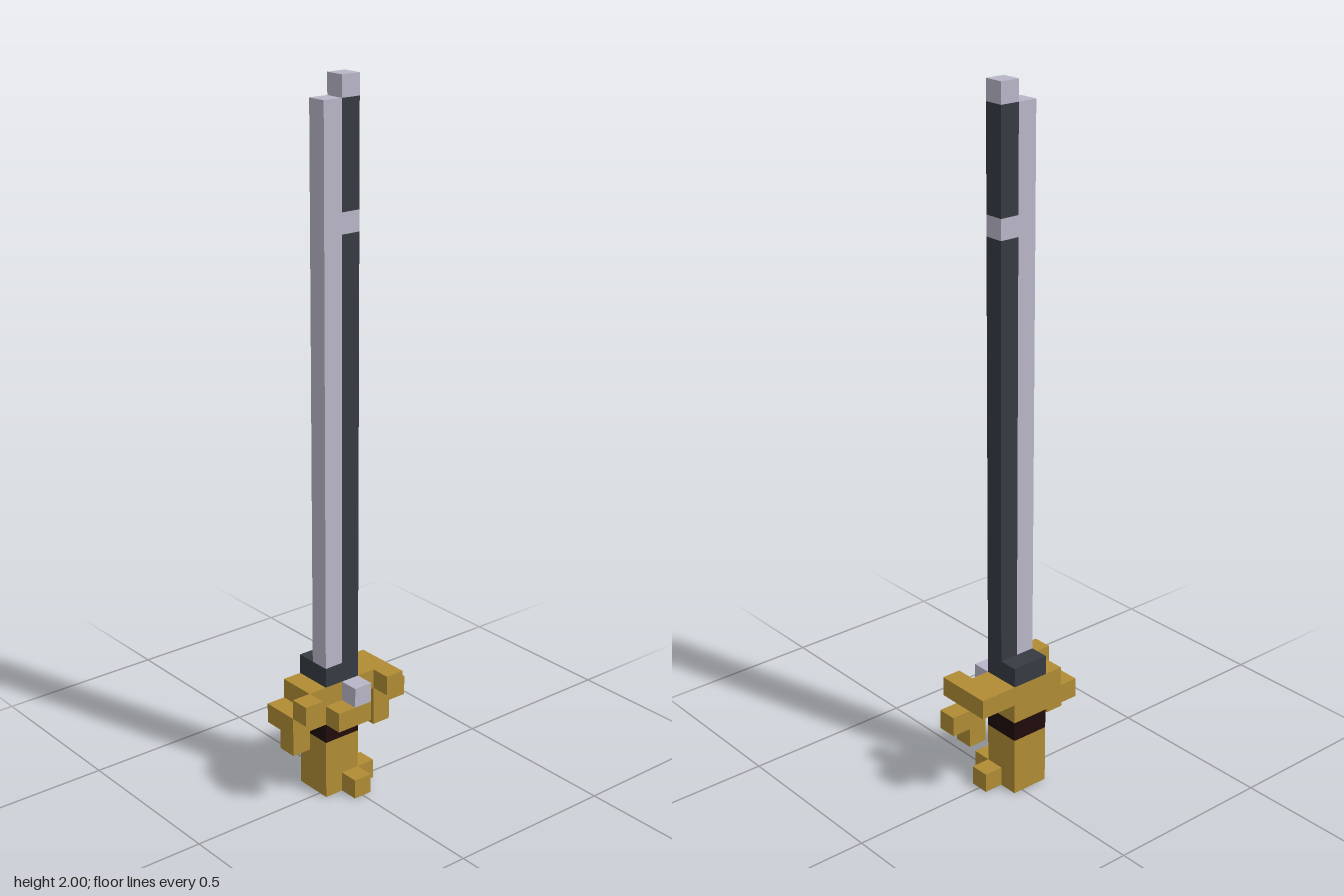
import * as THREE from 'three';

const V = 2 / 35; // edge of one cube cell

const material = (name, color) => {
  const m = new THREE.MeshStandardMaterial({ color });
  m.name = name;
  return m;
};

export function createModel() {
  const model = new THREE.Group();
  model.name = 'sword';
  const gold = material('gold', 0xb08c34);
  const silver = material('silver', 0xb9b6c8);
  const steel = material('dark steel', 0x363b42);
  const brown = material('dark brown', 0x200c0a);

  // Block of cells: first cell (x, y, z) and cell counts (w, h, d)
  const block = (name, mat, x, y, z, w = 1, h = 1, d = 1) => {
    const mesh = new THREE.Mesh(new THREE.BoxGeometry(w * V, h * V, d * V), mat);
    mesh.position.set((x + w / 2 - 3.5) * V, (y + h / 2) * V, (z + d / 2 - 1.5) * V);
    mesh.name = name;
    model.add(mesh);
  };

  // Handle and pommel
  block('handle', gold, 2, 0, 0, 2, 3, 2);
  block('pommelFront', gold, 3, 0, 2);
  block('pommelSide', gold, 4, 0, 1);
  block('gripBand', brown, 2, 3, 0, 2, 1, 2);

  // Guard
  block('guardCore', gold, 2, 4, 0, 2, 1, 3);
  block('guardBar', gold, 1, 5, 0, 5, 1, 2);
  block('guardGem', silver, 3, 5, 2);

  // Right arm of the guard
  block('rightArm', gold, 0, 4, 0, 2, 1, 2);
  block('rightArmHook', gold, 0, 3, 1);
  block('rightArmStud', gold, 0, 5, 2);

  // Left arm of the guard
  block('leftArmTip', gold, 5, 4, 1, 2, 1, 1);
  block('leftArmHook', gold, 5, 3, 1);
  block('leftArmStud', gold, 5, 5, 2);

  // Blade: silver edge beside a dark spine with a silver band and tip
  block('collar', steel, 2, 6, 0, 2, 1, 2);
  block('bladeEdge', silver, 2, 7, 1, 1, 27, 1);
  block('bladeSpineLower', steel, 3, 7, 1, 1, 21, 1);
  block('bladeBand', silver, 3, 28, 1);
  block('bladeSpineUpper', steel, 3, 29, 1, 1, 5, 1);
  block('bladeTip', silver, 3, 34, 1);

  return model;
}
